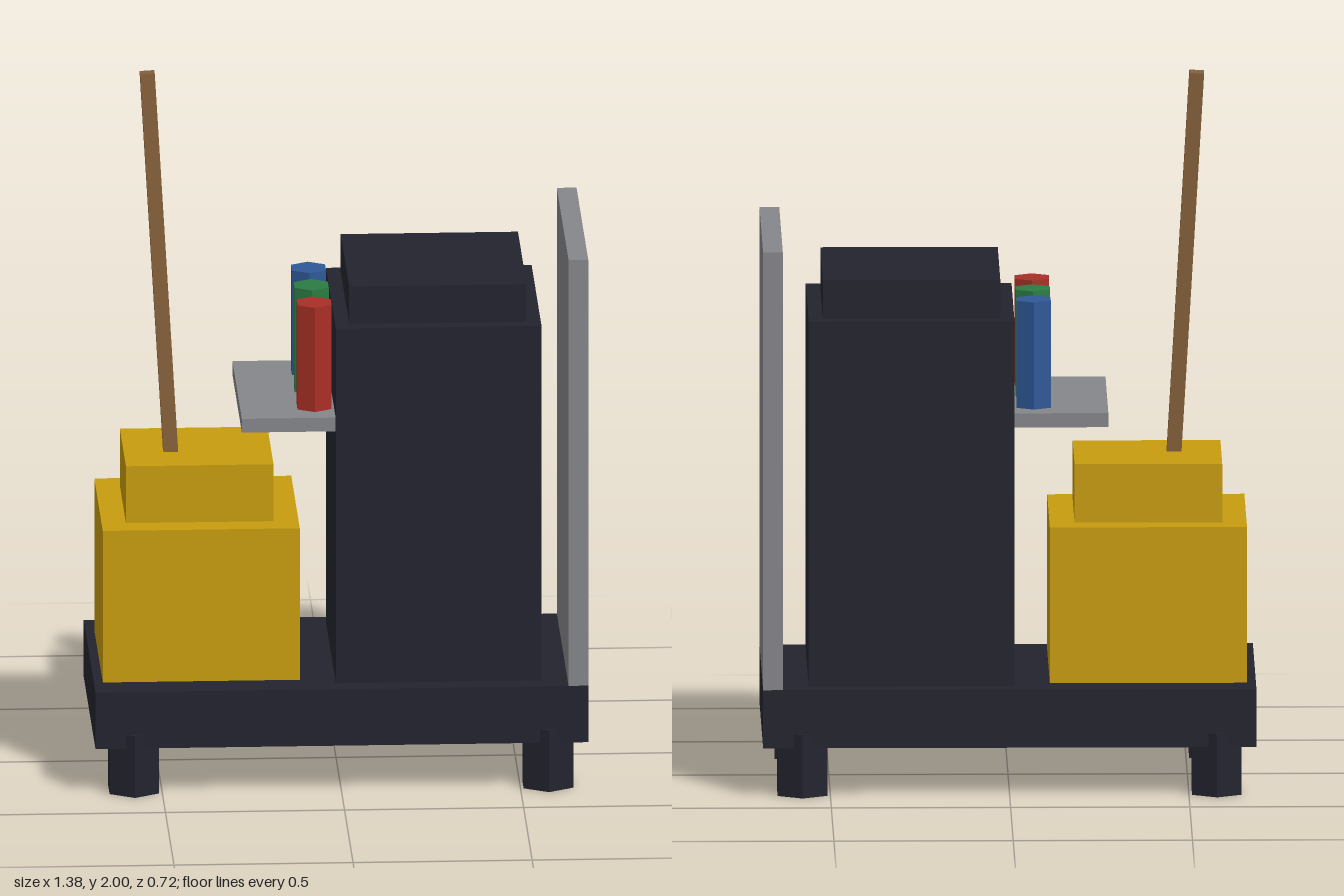
import * as THREE from 'three';

const paint = (name, color) => {
  const m = new THREE.MeshStandardMaterial({ color });
  m.name = name;
  return m;
};

export function createModel() {
  const dark = paint('charcoal', 0x23232f);
  const yellow = paint('yellow', 0xc89c0e);
  const grey = paint('grey', 0x85868a);
  const wood = paint('wood', 0x85603a);
  const red = paint('red', 0xa92f26);
  const green = paint('green', 0x2b7b43);
  const blue = paint('blue', 0x2f5896);

  const model = new THREE.Group();
  model.name = 'cleaningCart';

  const add = (name, geometry, material) => {
    const mesh = new THREE.Mesh(geometry, material);
    mesh.name = name;
    model.add(mesh);
    return mesh;
  };

  // Box from its x and y limits, centred on z = 0
  const box = (name, material, x0, x1, y0, y1, depth) =>
    add(name, new THREE.BoxGeometry(x1 - x0, y1 - y0, depth), material)
      .position.set((x0 + x1) / 2, (y0 + y1) / 2, 0);

  // Upright six-sided prism standing on y0
  const hexPrism = (name, material, radius, x, y0, y1, z) => {
    const geometry = new THREE.CylinderGeometry(radius, radius, y1 - y0, 6).toNonIndexed();
    geometry.computeVertexNormals();
    add(name, geometry, material).position.set(x, (y0 + y1) / 2, z);
  };

  // Platform and casters
  box('platform', dark, -0.688, 0.688, 0.14, 0.305, 0.688);
  for (const x of [-0.578, 0.578]) {
    for (const z of [-0.278, 0.278]) hexPrism('caster', dark, 0.08, x, 0, 0.18, z);
  }

  // Mop bucket and wringer
  box('bucket', yellow, -0.663, -0.113, 0.305, 0.747, 0.5);
  box('wringer', yellow, -0.595, -0.183, 0.747, 0.913, 0.358);

  // Waste bin with lid
  box('bin', dark, -0.014, 0.56, 0.305, 1.34, 0.578);
  box('binLid', dark, 0.025, 0.52, 1.34, 1.45, 0.498);

  // Upright end panel
  box('endPanel', grey, 0.633, 0.688, 0.305, 1.547, 0.688);

  // Shelf with three bottles
  box('shelf', grey, -0.276, -0.014, 1.036, 1.076, 0.55);
  [[red, 0.165], [green, 0], [blue, -0.165]].forEach(([material, z]) =>
    hexPrism('bottle', material, 0.055, -0.069, 1.076, 1.38, z));

  // Leaning mop handle
  const low = new THREE.Vector3(-0.457, 0.8, 0.036);
  const high = new THREE.Vector3(-0.526, 1.998, -0.028);
  const handle = add('mopHandle', new THREE.BoxGeometry(0.041, low.distanceTo(high), 0.041), wood);
  handle.position.addVectors(low, high).multiplyScalar(0.5);
  handle.quaternion.setFromUnitVectors(new THREE.Vector3(0, 1, 0), high.sub(low).normalize());

  return model;
}
